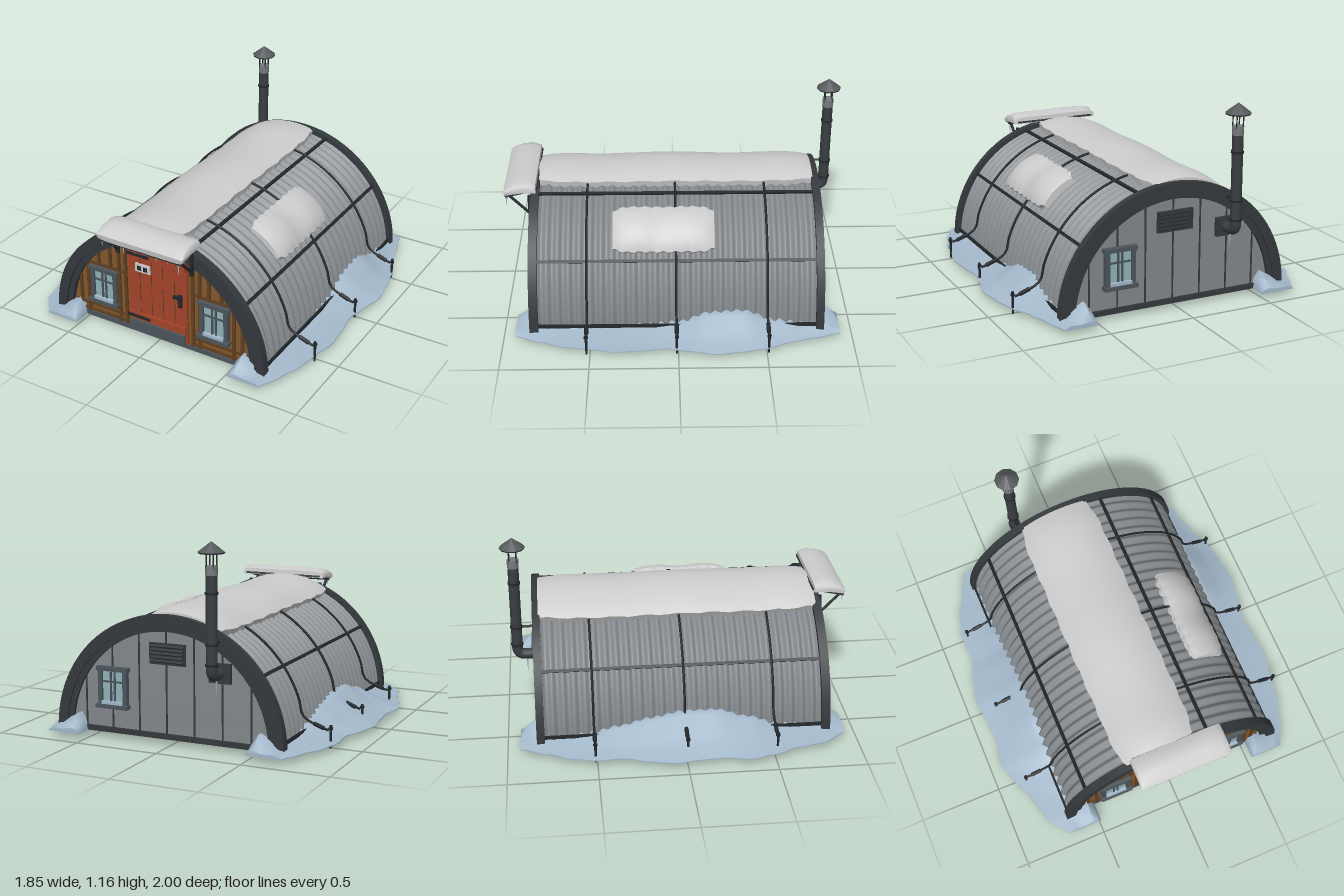
import * as THREE from 'three';
import { toCreasedNormals, mergeVertices } from 'three/addons/utils/BufferGeometryUtils.js';

const V = (x, y, z) => new THREE.Vector3(x, y, z);
const mat = (color, extra = {}) => new THREE.MeshStandardMaterial({ color, ...extra });
const M = {
  dark: mat(0x34393d), rope: mat(0x24282b), shell: mat(0x868b8f, { side: THREE.DoubleSide }),
  snow: mat(0xcccccc), drift: mat(0xa3b8ca), wood: mat(0x84592c), batten: mat(0x62401f),
  door: mat(0xa5452a), panel: mat(0x82878b), slate: mat(0x4c565b), glass: mat(0x8fb2b8),
  pipe: mat(0x3a3e42), collar: mat(0x777b7e), light: mat(0xc9cccc),
};
const CY = 0.03;                       // centre height of the arch
const TAU = Math.PI * 2;

export function createModel() {
  const model = new THREE.Group();
  const hut = new THREE.Group();
  hut.name = 'hut';
  hut.position.x = 0.02;
  model.add(hut);

  const add = (name, geo, m, x = 0, y = 0, z = 0, parent = hut) => {
    const mesh = new THREE.Mesh(geo, m);
    mesh.name = name;
    mesh.position.set(x, y, z);
    parent.add(mesh);
    return mesh;
  };
  const box = (name, m, w, h, d, x, y, z, parent) => add(name, new THREE.BoxGeometry(w, h, d), m, x, y, z, parent);
  const cyl = (name, m, r0, r1, h, x, y, z, n = 12) => add(name, new THREE.CylinderGeometry(r0, r1, h, n), m, x, y, z);
  const bar = (name, m, a, b, r, n = 6) => {
    const mesh = cyl(name, m, r, r, a.distanceTo(b), 0, 0, 0, n);
    mesh.position.lerpVectors(a, b, 0.5);
    mesh.quaternion.setFromUnitVectors(V(0, 1, 0), b.clone().sub(a).normalize());
    return mesh;
  };
  // evenly spaced table read with a smooth blend, t in 0..1
  const sample = (table, t) => {
    const f = Math.min(Math.max(t, 0), 1) * (table.length - 1);
    const i = Math.min(Math.floor(f), table.length - 2), k = f - i;
    return THREE.MathUtils.lerp(table[i], table[i + 1], k * k * (3 - 2 * k));
  };
  // closed solid through rings of points, capped at both ends, faces turned outward
  const loft = (rings, crease = 0.7) => {
    const n = rings[0].length, last = rings.length - 1;
    const mid = (r) => r.reduce((s, p) => s.add(p), V(0, 0, 0)).divideScalar(n);
    const pts = [...rings.flat(), mid(rings[0]), mid(rings[last])];
    const idx = [];
    for (let j = 0; j < n; j++) {
      const k = (j + 1) % n;
      for (let i = 0; i < last; i++) {
        const a = i * n + j, b = i * n + k;
        idx.push(a, b, a + n, b, b + n, a + n);
      }
      idx.push(pts.length - 2, k, j, pts.length - 1, last * n + j, last * n + k);
    }
    let volume = 0;
    for (let i = 0; i < idx.length; i += 3) volume += pts[idx[i]].dot(pts[idx[i + 1]].clone().cross(pts[idx[i + 2]]));
    if (volume < 0) idx.reverse();
    const g = new THREE.BufferGeometry().setFromPoints(pts);
    g.setIndex(idx);
    return toCreasedNormals(g, crease);
  };
  const halfRing = (ro, ri, depth) => {
    const s = new THREE.Shape();
    s.absarc(0, 0, ro, 0, Math.PI, false);
    if (ri) s.absarc(0, 0, ri, Math.PI, 0, true);
    return toCreasedNormals(new THREE.ExtrudeGeometry(s, { depth, bevelEnabled: false, curveSegments: 30 }), 0.5);
  };

  // corrugated arched shell
  const waves = 26, zSteps = waves * 8, aSteps = 32;
  const shell = new THREE.PlaneGeometry(1, 1, aSteps, zSteps);
  const p = shell.attributes.position;
  for (let i = 0; i < p.count; i++) {
    const a = (0.5 - p.getX(i)) * Math.PI, t = p.getY(i) + 0.5;
    const r = 0.667 + 0.012 * Math.cos(t * waves * TAU);
    p.setXYZ(i, Math.cos(a) * r, CY + Math.sin(a) * r, -0.8 + t * 1.61);
  }
  shell.computeVertexNormals();
  add('corrugatedShell', shell, M.shell);

  // end arches with an inner trim, and the end walls
  add('frontArch', halfRing(0.7, 0.64, 0.05), M.dark, 0, CY, 0.8);
  add('frontArchTrim', halfRing(0.645, 0.605, 0.035), M.dark, 0, CY, 0.8);
  add('backArch', halfRing(0.7, 0.64, 0.045), M.dark, 0, CY, -0.835);
  add('backArchTrim', halfRing(0.645, 0.605, 0.03), M.dark, 0, CY, -0.825);
  add('frontWall', halfRing(0.63, 0, 0.02), M.wood, 0, CY, 0.79);
  add('backWall', halfRing(0.63, 0, 0.02), M.panel, 0, CY, -0.81);
  box('frontSill', M.slate, 1.2, 0.03, 0.045, 0, 0.045, 0.8);
  box('backSill', M.dark, 1.2, 0.03, 0.04, 0, 0.045, -0.805);

  // wooden battens and rails, mirrored about the door
  for (const s of [-1, 1]) {
    for (const [x, y0] of [[0.225, 0.06], [0.27, 0.06], [0.33, 0.4], [0.41, 0.4], [0.49, 0.06], [0.545, 0.06]]) {
      const y1 = CY + Math.sqrt(0.615 ** 2 - x * x);
      box('wallBatten', M.batten, 0.018, y1 - y0, 0.015, s * x, (y0 + y1) / 2, 0.815);
    }
    for (const y of [0.075, 0.115, 0.4]) box('wallRail', M.batten, y > 0.3 ? 0.25 : 0.36, 0.016, 0.012, s * (y > 0.3 ? 0.36 : 0.405), y, 0.815);
  }
  // seams of the back wall
  for (const x of [-0.5, -0.33, -0.16, 0.01, 0.18, 0.35, 0.52]) {
    const h = Math.sqrt(0.61 ** 2 - x * x);
    box('backSeam', M.dark, 0.008, h, 0.008, x, CY + h / 2, -0.812);
  }

  // windows
  const windowAt = (x, y, z, turn) => {
    const g = new THREE.Group();
    g.name = 'window';
    g.position.set(x, y, z);
    g.rotation.y = turn;
    hut.add(g);
    box('glass', M.glass, 0.14, 0.18, 0.012, 0, 0, 0.008, g);
    for (const s of [-1, 1]) {
      box('windowJamb', M.slate, 0.026, 0.22, 0.03, s * 0.078, 0, 0.012, g);
      box('windowCasement', M.slate, 0.01, 0.18, 0.02, s * 0.012, 0, 0.012, g);
    }
    box('windowHead', M.slate, 0.2, 0.024, 0.036, 0, 0.108, 0.014, g);
    box('windowSill', M.slate, 0.2, 0.022, 0.05, 0, -0.104, 0.02, g);
    box('windowTransom', M.slate, 0.14, 0.01, 0.02, 0, 0.035, 0.012, g);
    box('sillSnow', M.drift, 0.13, 0.018, 0.02, 0, -0.085, 0.025, g);
  };
  windowAt(-0.37, 0.27, 0.812, 0);
  windowAt(0.37, 0.27, 0.812, 0);
  windowAt(0.34, 0.29, -0.812, Math.PI);

  // back vent with slats
  box('ventFrame', M.dark, 0.22, 0.12, 0.016, 0, 0.51, -0.816);
  for (let i = 0; i < 5; i++) box('ventSlat', M.rope, 0.2, 0.012, 0.016, 0, 0.468 + i * 0.021, -0.824).rotation.x = 0.5;

  // arched-top door with straps, brace, plate and handle
  const doorShape = new THREE.Shape();
  doorShape.moveTo(-0.195, 0.06).lineTo(0.195, 0.06).lineTo(0.195, 0.61);
  doorShape.quadraticCurveTo(0, 0.68, -0.195, 0.61);
  add('door', new THREE.ExtrudeGeometry(doorShape, { depth: 0.025, bevelEnabled: false }), M.door, 0, 0, 0.805);
  for (const x of [-0.115, -0.038, 0.038, 0.115]) box('doorGroove', M.batten, 0.004, 0.52, 0.004, x, 0.36, 0.83);
  for (const y of [0.155, 0.565]) {
    box('doorRail', M.door, 0.38, 0.045, 0.016, 0, y, 0.836);
    box('doorHinge', M.rope, 0.15, 0.016, 0.012, -0.12, y, 0.845);
  }
  box('doorBrace', M.door, 0.035, 0.48, 0.014, 0, 0.36, 0.836).rotation.z = -0.72;
  box('kickPlate', M.slate, 0.37, 0.06, 0.02, 0, 0.092, 0.836);
  box('doorPlate', M.light, 0.1, 0.05, 0.012, -0.09, 0.48, 0.836);
  for (const x of [-0.11, -0.07]) box('plateSlot', M.rope, 0.025, 0.026, 0.006, x, 0.48, 0.842);
  box('handlePlate', M.rope, 0.022, 0.08, 0.014, 0.155, 0.345, 0.838);
  box('handleGrip', M.rope, 0.05, 0.016, 0.02, 0.145, 0.372, 0.85);

  // awning plate, struts, snow slab and icicles
  box('awningPlate', M.dark, 0.52, 0.012, 0.19, 0, 0.715, 0.9).rotation.x = 0.22;
  for (const s of [-1, 1]) {
    bar('awningStrut', M.rope, V(s * 0.245, 0.57, 0.85), V(s * 0.245, 0.7, 0.975), 0.009);
    box('strutPost', M.rope, 0.02, 0.14, 0.016, s * 0.245, 0.62, 0.855);
  }
  const slab = [[0.81, 0.725], [0.815, 0.765], [0.87, 0.785], [0.93, 0.775], [0.975, 0.755], [1, 0.73], [0.995, 0.698], [0.9, 0.725]];
  add('awningSnow', loft([-0.28, -0.265, -0.22, -0.1, 0.03, 0.15, 0.24, 0.272, 0.28].map((x, i) => {
    const k = [0.55, 0.85, 1, 1.05, 0.97, 1, 0.95, 0.8, 0.5][i];
    return slab.map(([z, y]) => V(x, 0.725 + (y - 0.725) * k, 0.9 + (z - 0.9) * (0.94 + 0.06 * Math.min(k, 1))));
  }), 0.9), M.snow);
  [0.05, 0.03, 0.06, 0.035, 0.025, 0.045, 0.03, 0.09].forEach((h, i) =>
    cyl('icicle', M.drift, 0.007, 0, h, -0.25 + i * 0.071, 0.703 - h / 2, 0.985, 5));

  // snow blankets lying on the arch between two angles measured from the top
  const blanket = (name, a0, a1, z0, z1, thick, base) => {
    const rings = [], nz = 28, na = 12;
    for (let i = 0; i <= nz; i++) {
      const t = i / nz, end = Math.min(1, Math.min(t, 1 - t) * 9), ring = [];
      const lump = thick * (0.55 + 0.45 * Math.sqrt(end)) * (1 + 0.13 * Math.sin(t * 13 + a1 * 5));
      const inset = (1 - end) * 0.03 + 0.008 * Math.sin(i * 1.9);
      for (let j = 0; j <= na; j++) {
        const u = j / na, a = a0 + inset + (a1 - a0 - 2 * inset) * u;
        const r = base + lump * Math.pow(Math.sin(Math.PI * (0.06 + 0.88 * u)), 0.5);
        ring.push(V(Math.sin(a) * r, CY + Math.cos(a) * r, z0 + (z1 - z0) * t));
      }
      for (let j = na; j >= 0; j--) {
        const a = a0 + inset + (a1 - a0 - 2 * inset) * j / na;
        ring.push(V(Math.sin(a) * (base - 0.02), CY + Math.cos(a) * (base - 0.02), z0 + (z1 - z0) * t));
      }
      rings.push(ring);
    }
    add(name, loft(rings, 0.8), M.snow);
  };
  blanket('roofSnow', -0.49, 0.2, -0.8, 0.82, 0.045, 0.685);
  blanket('slopeSnow', 0.48, 0.87, -0.21, 0.37, 0.05, 0.685);

  // lengthwise rails on the shell
  for (const s of [-1, 1]) {
    for (const a of [0.31, 0.94, 1.5]) {
      const rail = box('roofRail', M.rope, 0.018, 0.012, 1.6, s * Math.sin(a) * 0.684, CY + Math.cos(a) * 0.684, 0);
      rail.rotation.z = -s * a;
    }
  }

  // tie-down ropes over the roof, with stakes and tensioners
  for (const z of [-0.51, 0.01, 0.52]) {
    const path = [V(-0.83, 0.1, z), V(-0.76, 0.12, z)];
    for (let i = 0; i <= 20; i++) {
      const a = Math.PI - 0.2 - (Math.PI - 0.4) * i / 20;
      path.push(V(Math.cos(a) * 0.69, CY + Math.sin(a) * 0.69, z));
    }
    path.push(V(0.76, 0.12, z), V(0.83, 0.1, z));
    add('tieRope', new THREE.TubeGeometry(new THREE.CatmullRomCurve3(path), 70, 0.007, 6), M.rope);
    for (const s of [-1, 1]) {
      cyl('stake', M.rope, 0.008, 0.006, 0.13, s * 0.84, 0.065, z, 6);
      cyl('stakeHead', M.rope, 0.012, 0.012, 0.014, s * 0.84, 0.112, z, 6);
      bar('tensioner', M.rope, V(s * 0.8, 0.108, z), V(s * 0.74, 0.13, z), 0.012);
    }
  }

  // snow drifts along both sides: outer edge and height against the shell, from back to front
  const drifts = [
    [-1, [0.72, 0.78, 0.85, 0.88, 0.87, 0.92, 0.95, 0.93, 0.92, 0.95, 0.91, 0.85, 0.82, 0.72], [0.05, 0.06, 0.08, 0.12, 0.16, 0.19, 0.19, 0.14, 0.08, 0.06, 0.05]],
    [1, [0.71, 0.75, 0.79, 0.85, 0.88, 0.9, 0.87, 0.84, 0.86, 0.87, 0.84, 0.82, 0.77, 0.71], [0.05, 0.07, 0.1, 0.16, 0.15, 0.09, 0.07, 0.06, 0.06, 0.06, 0.05]],
  ];
  for (const [s, outer, height] of drifts) {
    const rings = [], n = 44;
    for (let i = 0; i <= n; i++) {
      const t = i / n, z = -0.925 + 1.855 * t, o = sample(outer, t), h = sample(height, t);
      const end = Math.min(1, 0.3 + Math.min(t, 1 - t) * 16);
      const crest = 0.03 + 0.1 * end;
      const top = [[0.51, 0.03], [0.525, 0.03 + 0.06 * end], [0.555, crest], [0.61, Math.max(h, 0.1 * end)], [0.665, h],
        [0.69, h * 0.93], [0.69 + (o - 0.69) * 0.35, 0.032 + (h - 0.03) * 0.45], [0.69 + (o - 0.69) * 0.7, 0.034 + (h - 0.03) * 0.15], [o, 0.034], [o, 0.028]];
      rings.push([...top, [0.51, 0.028]].map(([x, y]) => V(s * x, y, z)));
    }
    add('snowDrift', loft(rings, 0.9), M.drift);
  }

  // stove pipe: elbow out of the back wall, bands, bracket and rain cap
  const cx = -0.32, cz = -0.925;
  const bend = new THREE.CurvePath();
  bend.add(new THREE.LineCurve3(V(cx, 0.435, -0.81), V(cx, 0.435, cz + 0.045)));
  bend.add(new THREE.QuadraticBezierCurve3(V(cx, 0.435, cz + 0.045), V(cx, 0.435, cz), V(cx, 0.48, cz)));
  bend.add(new THREE.LineCurve3(V(cx, 0.48, cz), V(cx, 0.99, cz)));
  add('stovePipe', new THREE.TubeGeometry(bend, 60, 0.031, 12), M.pipe);
  box('pipeWallPlate', M.dark, 0.13, 0.11, 0.02, cx, 0.435, -0.822);
  for (const y of [0.5, 0.61, 0.885]) cyl('pipeBand', M.rope, 0.036, 0.036, 0.012, cx, y, cz);
  cyl('pipeCollar', M.collar, 0.033, 0.033, 0.05, cx, 1.005, cz);
  bar('pipeBracket', M.rope, V(cx, 0.61, cz + 0.03), V(cx, 0.61, -0.82), 0.008);
  for (let i = 0; i < 4; i++) {
    const a = i * TAU / 4 + TAU / 8;
    cyl('capRod', M.rope, 0.004, 0.004, 0.1, cx + Math.cos(a) * 0.029, 1.065, cz + Math.sin(a) * 0.029, 5);
  }
  cyl('rainCap', mat(0x55595c, { flatShading: true }), 0.002, 0.073, 0.055, cx, 1.13, cz, 10);
  cyl('capRim', M.pipe, 0.073, 0.07, 0.008, cx, 1.099, cz, 10);
  cyl('pipeIcicle', M.drift, 0.006, 0, 0.1, cx, 0.36, -0.87, 5);

  return model;
}
